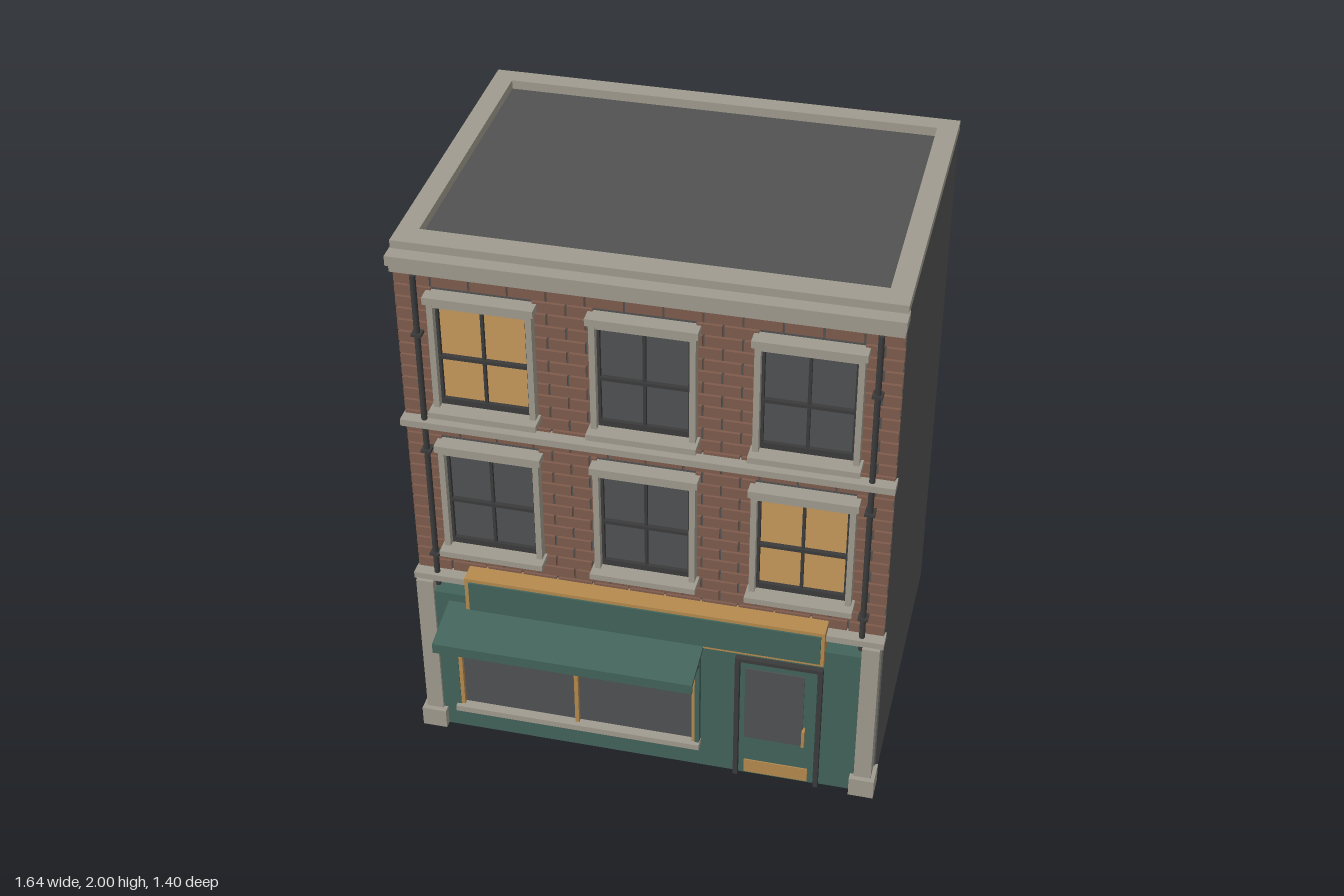
import * as THREE from 'three';
import { mergeGeometries } from 'three/addons/utils/BufferGeometryUtils.js';

const mat = (name, color) => {
  const m = new THREE.MeshStandardMaterial({ color });
  m.name = name;
  return m;
};

export function createModel() {
  const wall = mat('grey wall', 0x525252);
  const glass = mat('dark glass', 0x505152);
  const stone = mat('pale stone', 0xa09b8f);
  const brick = mat('red brick', 0x7f5c4d);
  const teal = mat('teal paint', 0x42635b);
  const gold = mat('gold trim', 0xb58a4e);
  const lit = mat('lit window', 0xc6995c);
  const iron = mat('dark iron', 0x3b3b3b);

  const model = new THREE.Group();
  model.name = 'shopBuilding';

  // Box given by its limits on each axis
  const boxGeo = (x0, x1, y0, y1, z0, z1) =>
    new THREE.BoxGeometry(x1 - x0, y1 - y0, z1 - z0)
      .translate((x0 + x1) / 2, (y0 + y1) / 2, (z0 + z1) / 2);
  const add = (parent, name, geo, material) => {
    const mesh = new THREE.Mesh(geo, material);
    mesh.name = name;
    parent.add(mesh);
    return mesh;
  };
  const box = (parent, name, material, ...limits) => add(parent, name, boxGeo(...limits), material);
  const group = (name) => {
    const g = new THREE.Group();
    g.name = name;
    model.add(g);
    return g;
  };

  // Plain body, with the roof inside a low parapet
  box(model, 'body', wall, -0.81, 0.81, 0, 1.968, -0.7, 0.45);
  const rim = new THREE.Shape([[-0.812, -0.45], [0.812, -0.45], [0.812, 0.703], [-0.812, 0.703]]
    .map(([x, y]) => new THREE.Vector2(x, y)));
  rim.holes.push(new THREE.Path([[-0.742, -0.375], [-0.742, 0.636], [0.742, 0.636], [0.742, -0.375]]
    .map(([x, y]) => new THREE.Vector2(x, y))));
  add(model, 'parapet', new THREE.ExtrudeGeometry(rim, { depth: 0.035, bevelEnabled: false })
    .rotateX(-Math.PI / 2).translate(0, 1.965, 0), stone);

  // Cornice and string courses
  const bands = group('stoneBands');
  box(bands, 'corniceTop', stone, -0.812, 0.812, 1.97, 2, 0.45, 0.46);
  box(bands, 'corniceUpper', stone, -0.815, 0.815, 1.937, 1.972, 0.44, 0.51);
  box(bands, 'corniceLower', stone, -0.81, 0.81, 1.905, 1.937, 0.44, 0.492);
  box(bands, 'upperBelt', stone, -0.815, 0.815, 1.316, 1.341, 0.44, 0.502);
  box(bands, 'lowerBelt', stone, -0.815, 0.815, 0.665, 0.69, 0.44, 0.502);

  // Brick facing: staggered courses, cut around the window openings
  const columns = [-0.525, 0, 0.525];
  const floors = [0.805, 1.385];
  const bricks = [];
  const course = 0.0445, length = 0.125, joint = 0.007;
  for (let row = 0, y = 0.69; y < 1.9; row++, y += course) {
    const top = Math.min(y + course - joint, 1.905);
    const atWindow = floors.some((f) => top > f + 0.01 && y < f + 0.435);
    const spans = atWindow
      ? [[-0.81, -0.69], [-0.36, -0.165], [0.165, 0.36], [0.69, 0.81]]
      : [[-0.81, 0.81]];
    for (let x = -0.81 - (row % 2) * length / 2; x < 0.81; x += length) {
      for (const [a, b] of spans) {
        const x0 = Math.max(x, a), x1 = Math.min(x + length - joint, b);
        if (x1 - x0 > 0.008) bricks.push(boxGeo(x0, x1, y, top, 0.445, 0.46));
      }
    }
  }
  add(model, 'brickFacing', mergeGeometries(bricks), brick);

  // Sash windows, two of them lit
  floors.forEach((f, level) => columns.forEach((cx, i) => {
    const w = group('window');
    w.position.set(cx, f, 0);
    const isLit = (level === 1 && i === 0) || (level === 0 && i === 2);
    box(w, 'pane', isLit ? lit : glass, -0.145, 0.145, 0.04, 0.4, 0.447, 0.456);
    box(w, 'sill', stone, -0.18, 0.18, 0, 0.022, 0.44, 0.53);
    box(w, 'lintel', stone, -0.18, 0.18, 0.422, 0.448, 0.44, 0.506);
    box(w, 'head', stone, -0.17, 0.17, 0.405, 0.422, 0.44, 0.492);
    for (const s of [-1, 1]) {
      const jamb = box(w, 'jamb', stone, -0.01, 0.01, 0.022, 0.422, 0.44, 0.495);
      jamb.position.x += s * 0.161;
      const stile = box(w, 'stile', iron, -0.005, 0.005, 0.022, 0.405, 0.445, 0.47);
      stile.position.x += s * 0.147;
    }
    box(w, 'bottomRail', iron, -0.15, 0.15, 0.022, 0.044, 0.445, 0.47);
    box(w, 'topRail', iron, -0.15, 0.15, 0.396, 0.405, 0.445, 0.47);
    box(w, 'verticalBar', iron, -0.005, 0.005, 0.04, 0.4, 0.445, 0.468);
    box(w, 'meetingRail', iron, -0.15, 0.15, 0.2, 0.212, 0.445, 0.472);
  }));

  // Drainpipes and corner pilasters, mirrored
  for (const s of [-1, 1]) {
    const pipe = group('drainpipe');
    pipe.position.x = s * 0.738;
    add(pipe, 'pipe', new THREE.CylinderGeometry(0.01, 0.01, 1.26, 10).translate(0, 1.265, 0.48), iron);
    for (const y of [0.775, 1.215, 1.675]) {
      box(pipe, 'pipeBracket', iron, -0.017, 0.017, y - 0.005, y + 0.005, 0.45, 0.495);
    }
    const pilaster = group('pilaster');
    pilaster.position.x = s * 0.775;
    box(pilaster, 'shaft', stone, -0.03, 0.03, 0.07, 0.667, 0.44, 0.515);
    box(pilaster, 'base', stone, -0.044, 0.044, 0, 0.077, 0.44, 0.533);
  }

  // Shopfront with its display window
  const shop = group('shopfront');
  box(shop, 'shopPanel', teal, -0.745, 0.745, 0, 0.62, 0.44, 0.505);
  box(shop, 'displayGlass', glass, -0.67, 0.18, 0.13, 0.52, 0.503, 0.511);
  box(shop, 'displayHead', teal, -0.685, 0.195, 0.515, 0.55, 0.5, 0.53);
  box(shop, 'displaySill', stone, -0.685, 0.2, 0.105, 0.128, 0.5, 0.545);
  for (const x of [-0.663, -0.243, 0.177]) {
    box(shop, 'mullion', gold, x - 0.007, x + 0.007, 0.128, 0.515, 0.5, 0.527);
  }
  for (const x of [-0.678, 0.19]) box(shop, 'sideStile', teal, x - 0.008, x + 0.008, 0.128, 0.53, 0.5, 0.53);

  // Door
  const door = group('door');
  for (const x of [0.327, 0.613]) box(door, 'doorPost', iron, x - 0.008, x + 0.008, 0, 0.547, 0.5, 0.525);
  box(door, 'doorHead', iron, 0.319, 0.621, 0.533, 0.547, 0.5, 0.525);
  box(door, 'leaf', teal, 0.338, 0.602, 0.008, 0.528, 0.5, 0.515);
  box(door, 'doorGlass', glass, 0.355, 0.56, 0.182, 0.502, 0.512, 0.519);
  box(door, 'kickPlate', gold, 0.357, 0.582, 0.015, 0.073, 0.512, 0.519);
  box(door, 'handle', gold, 0.56, 0.57, 0.2, 0.272, 0.53, 0.545);
  for (const y of [0.205, 0.262]) box(door, 'handlePost', gold, 0.562, 0.568, y, y + 0.006, 0.51, 0.532);

  // Blank sign board with a gold rim
  const sign = group('sign');
  box(sign, 'signRim', gold, -0.625, 0.622, 0.575, 0.72, 0.44, 0.53);
  box(sign, 'signFace', teal, -0.61, 0.61, 0.588, 0.707, 0.527, 0.536);

  // Awning: sloping sheet with a valance, held by two arms
  const awning = group('awning');
  const profile = new THREE.Shape([[0.5, 0.588], [0.7, 0.556], [0.7, 0.517], [0.69, 0.517],
    [0.69, 0.543], [0.5, 0.573]].map(([z, y]) => new THREE.Vector2(-z, y)));
  add(awning, 'awningSheet', new THREE.ExtrudeGeometry(profile, { depth: 0.905, bevelEnabled: false })
    .rotateY(Math.PI / 2).translate(-0.695, 0, 0), teal);
  for (const x of [-0.678, 0.193]) {
    const arm = new THREE.LineCurve3(new THREE.Vector3(x, 0.485, 0.515), new THREE.Vector3(x, 0.545, 0.692));
    add(awning, 'awningArm', new THREE.TubeGeometry(arm, 1, 0.005, 6), iron);
  }

  return model;
}
